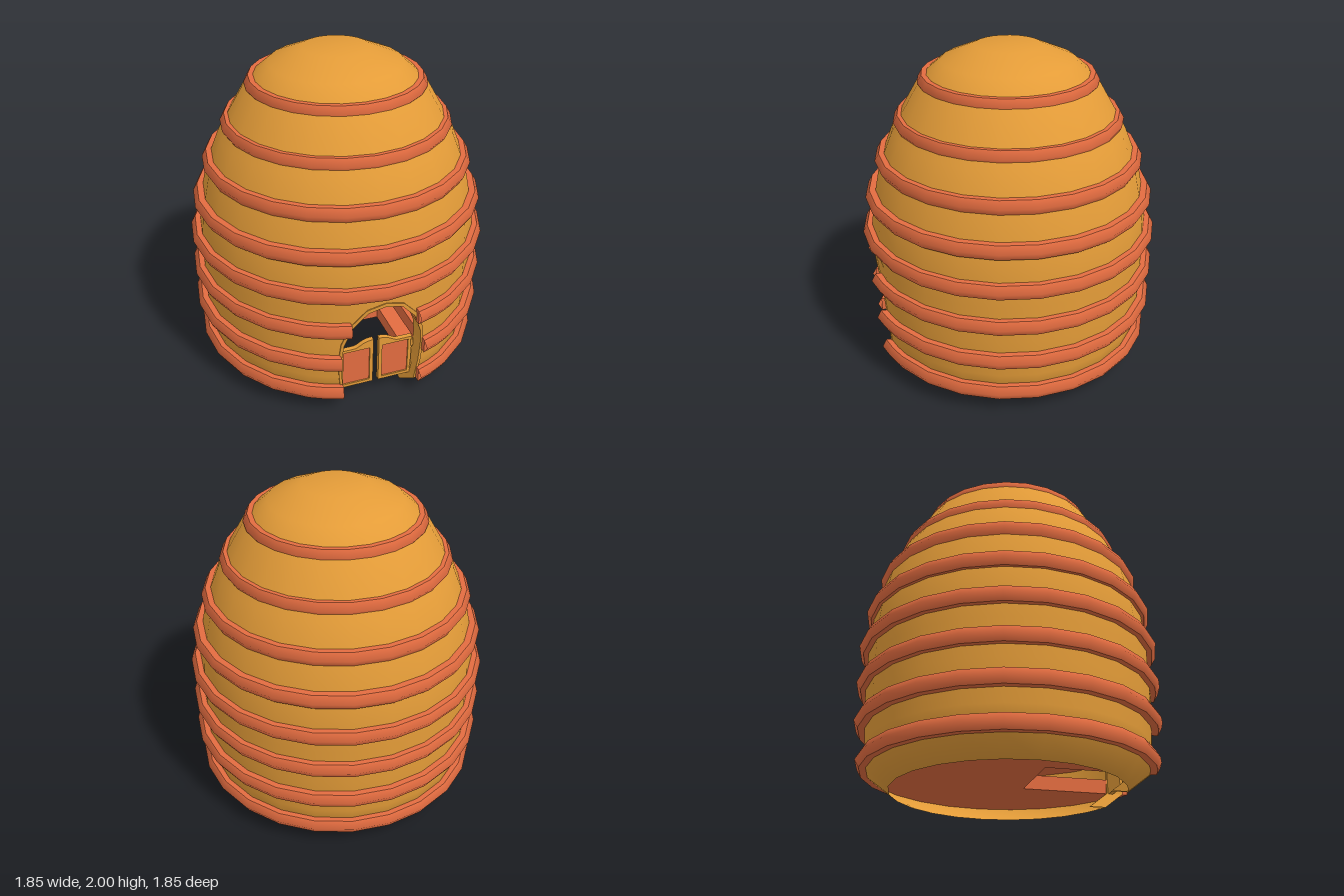
import * as THREE from 'three';

const SIDES = 24;
// Wall profile [radius, height]; the lower heights match the doorway points
const WALL = [[0.70, 0], [0.835, 0.1], [0.85, 0.25], [0.862, 0.4], [0.867, 0.5], [0.868, 0.63], [0.868, 0.73],
  [0.868, 0.76], [0.866, 0.9], [0.85, 1.04], [0.80, 1.28], [0.71, 1.5], [0.535, 1.8], [0.4, 1.915], [0.2, 2], [0, 2]];
// Doorway half width [x, height]
const ARCH = [[0.2, 0], [0.235, 0.1], [0.255, 0.25], [0.26, 0.4], [0.25, 0.5], [0.2, 0.63], [0.11, 0.73], [0, 0.76]];

// Linear lookup of a [value, height] list
function at(list, y) {
  for (let i = 1; i < list.length; i++) {
    const [v0, y0] = list[i - 1], [v1, y1] = list[i];
    if (y <= y1 && y1 > y0) return v0 + (v1 - v0) * (y - y0) / (y1 - y0);
  }
  return 0;
}
const gapAngle = (y, r) => (y >= 0.76 ? 0 : Math.asin(at(ARCH, y) / r));

// Angle of a column; the first and last ones are pulled back to the doorway edge
const STEP = 2 * Math.PI / SIDES;
function columnAngle(col, gap) {
  if (col < 2) return gap + (2 * STEP - gap) * col / 2;
  if (col > SIDES - 2) return 2 * Math.PI - columnAngle(SIDES - col, gap);
  return col * STEP;
}

// Lathe that leaves the doorway open
function gappedLathe(points, gapOf) {
  const geo = new THREE.LatheGeometry(points, SIDES);
  const p = geo.attributes.position, n = geo.attributes.normal;
  for (let k = 0; k < p.count; k++) {
    const col = Math.floor(k / points.length), old = col * STEP;
    const pt = points[k % points.length], a = columnAngle(col, gapOf(pt));
    const nr = n.getX(k) * Math.sin(old) + n.getZ(k) * Math.cos(old);
    p.setXYZ(k, pt.x * Math.sin(a), pt.y, pt.x * Math.cos(a));
    n.setXYZ(k, nr * Math.sin(a), n.getY(k), nr * Math.cos(a));
  }
  return geo;
}

// Solid disc filling a hoop, notched by the entrance hall where there is one
function discGeometry(radius, height, gap, hallBack) {
  const shape = new THREE.Shape();
  const last = gap > 0 ? SIDES : SIDES - 1;
  for (let col = 0; col <= last; col++) {
    const a = columnAngle(col, gap), x = radius * Math.sin(a), y = -radius * Math.cos(a);
    if (col === 0) shape.moveTo(x, y);
    else shape.lineTo(x, y);
  }
  if (gap > 0) {
    const half = radius * Math.sin(gap);
    shape.lineTo(-half, -hallBack);
    shape.lineTo(half, -hallBack);
  }
  shape.closePath();
  return new THREE.ExtrudeGeometry(shape, { depth: height, bevelEnabled: false }).rotateX(-Math.PI / 2);
}

// Band lining the doorway, following the curve of the wall
function archGeometry() {
  const path = [...ARCH, ...ARCH.slice(0, -1).reverse().map(([x, y]) => [-x, y])];
  const pos = [], idx = [];
  path.forEach(([x, y], i) => {
    const r = at(WALL, y), z = Math.sqrt(r * r - x * x);
    const xo = x * 1.03, yo = y * 1.01, xi = x * 0.96, yi = y * 0.98;
    pos.push(xo, yo, z + 0.004, xi, yi, z + 0.004, xi, yi, z - 0.1, xo, yo, z - 0.1);
    if (i === 0) return;
    for (let j = 0; j < 4; j++) {
      const a = (i - 1) * 4 + j, b = (i - 1) * 4 + (j + 1) % 4;
      idx.push(a, a + 4, b, b, a + 4, b + 4);
    }
  });
  const geo = new THREE.BufferGeometry();
  geo.setAttribute('position', new THREE.Float32BufferAttribute(pos, 3));
  geo.setIndex(idx);
  const flat = geo.toNonIndexed();
  flat.computeVertexNormals();
  return flat;
}

// Outline of one swing door, on the +x side
function doorShape() {
  const s = new THREE.Shape();
  s.moveTo(0.018, 0.095);
  s.lineTo(0.228, 0.095);
  s.lineTo(0.235, 0.375);
  s.lineTo(0.14, 0.375);
  s.bezierCurveTo(0.1, 0.38, 0.09, 0.415, 0.018, 0.415);
  s.closePath();
  return s;
}

export function createModel() {
  const gold = new THREE.MeshStandardMaterial({ color: 0xe49c38, side: THREE.DoubleSide });
  gold.name = 'honey gold';
  const orange = new THREE.MeshStandardMaterial({ color: 0xe36c40, side: THREE.DoubleSide });
  orange.name = 'clay orange';

  const model = new THREE.Group();
  model.name = 'beehiveHouse';
  const add = (name, geo, mat, parent = model) => {
    const mesh = new THREE.Mesh(geo, mat);
    mesh.name = name;
    parent.add(mesh);
    return mesh;
  };

  // Domed wall with doorway, open underneath
  add('wall', gappedLathe(WALL.map(([r, y]) => new THREE.Vector2(r, y)),
    (pt) => (pt.x > 0 ? gapAngle(pt.y, pt.x) : 0)), gold);

  // Hoops: solid discs with a pointed rim, the lower three notched by the hall
  const halfHeight = 0.045, bevel = 0.026;
  [0.902, 0.925, 0.926, 0.925, 0.895, 0.823, 0.699, 0.545].forEach((outer, i) => {
    const y = 0.145 + i * 0.2357, radius = outer - bevel;
    const gap = gapAngle(y, radius);
    const hoop = new THREE.Group();
    hoop.name = 'hoop' + (i + 1);
    hoop.position.y = y;
    model.add(hoop);
    const rim = [[radius, -halfHeight], [outer, 0], [radius, halfHeight]].map(([r, h]) => new THREE.Vector2(r, h));
    add('hoopRim', gappedLathe(rim, () => gap), orange, hoop);
    add('hoopDisc', discGeometry(radius, 2 * halfHeight, gap, 0.16), orange, hoop).position.y = -halfHeight;
  });

  add('doorFrame', archGeometry(), gold);

  // Pair of swing doors with inset panels and hinges
  const frameShape = doorShape();
  frameShape.holes.push(new THREE.Path([[0.04, 0.115], [0.04, 0.357], [0.21, 0.357], [0.21, 0.115]]
    .map(([x, y]) => new THREE.Vector2(x, y))));
  for (const side of [1, -1]) {
    const door = new THREE.Group();
    door.name = side > 0 ? 'leftDoor' : 'rightDoor';
    door.position.z = 0.71;
    door.scale.x = side;
    model.add(door);
    add('doorBack', new THREE.ExtrudeGeometry(doorShape(), { depth: 0.015, bevelEnabled: false }), gold, door);
    add('doorRim', new THREE.ExtrudeGeometry(frameShape, { depth: 0.015, bevelEnabled: false }), gold, door).position.z = 0.015;
    add('doorPanel', new THREE.BoxGeometry(0.17, 0.242, 0.006), orange, door).position.set(0.125, 0.236, 0.018);
    for (const y of [0.15, 0.33]) {
      add('hinge', new THREE.CylinderGeometry(0.01, 0.01, 0.05, 8), gold, door).position.set(0.234, y, 0.025);
    }
  }
  return model;
}
